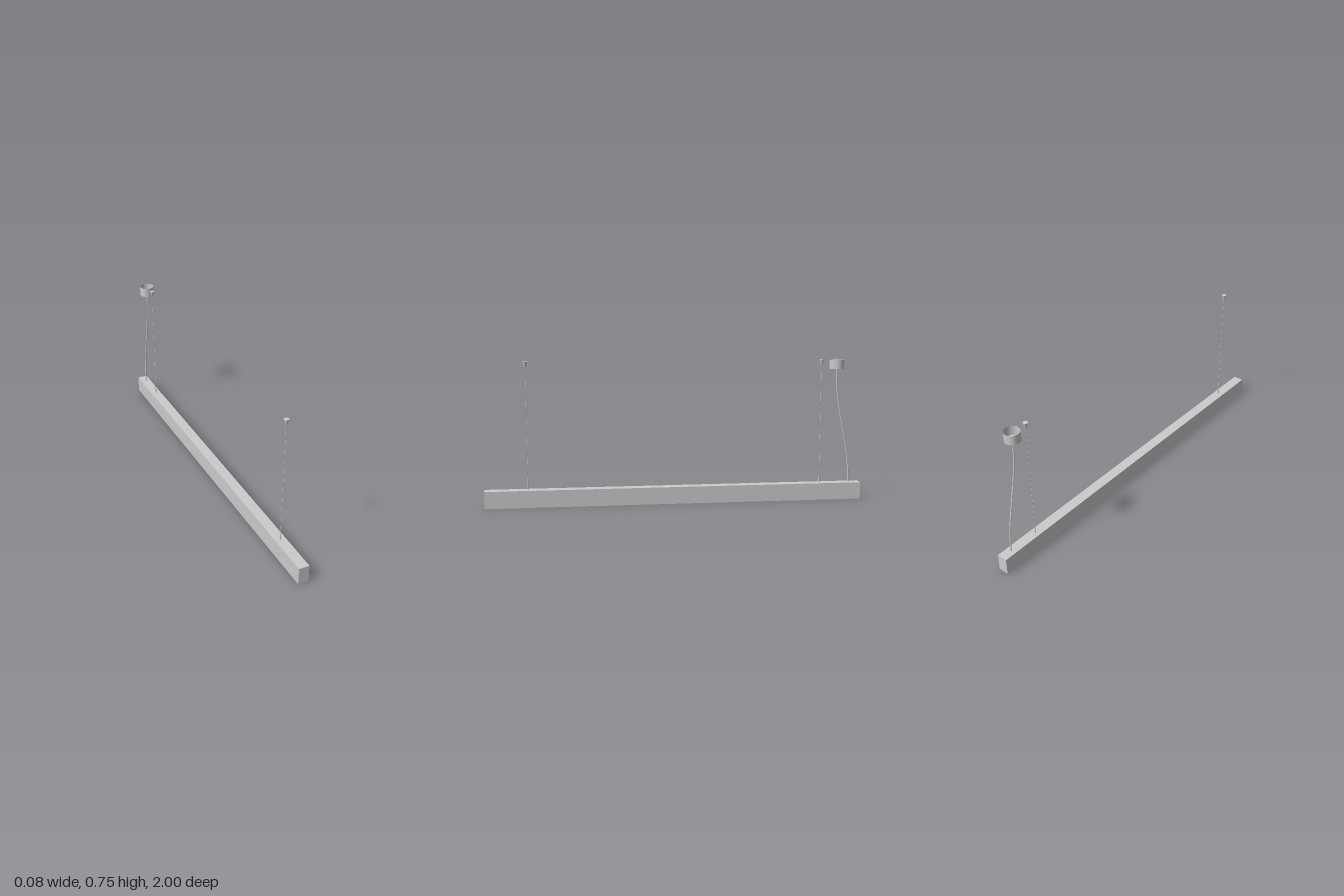
import * as THREE from 'three';

const material = new THREE.MeshStandardMaterial({ color: 0xcccccc });
const thinMaterial = new THREE.MeshStandardMaterial({ color: 0xcccccc, side: THREE.DoubleSide });

function addMesh(parent, name, geometry, mat = material) {
  const mesh = new THREE.Mesh(geometry, mat);
  mesh.name = name;
  parent.add(mesh);
  return mesh;
}

// Upright cylinder or cone between two heights
function post(parent, name, rTop, rBottom, y0, y1, open = false) {
  const geometry = new THREE.CylinderGeometry(rTop, rBottom, y1 - y0, 24, 1, open);
  const mesh = addMesh(parent, name, geometry, open ? thinMaterial : material);
  mesh.position.y = (y0 + y1) / 2;
  return mesh;
}

export function createModel() {
  const model = new THREE.Group();
  model.name = 'linearPendantLamp';

  const barHeight = 0.09;
  const top = 0.755;

  // Long rectangular light housing
  addMesh(model, 'lightBar', new THREE.BoxGeometry(0.055, barHeight, 2)).position.y = barHeight / 2;

  // Two suspension wires, each with a gripper below and a ceiling cone above
  for (const [side, z] of [['front', 0.777], ['back', -0.777]]) {
    const suspension = new THREE.Group();
    suspension.name = side + 'Suspension';
    suspension.position.z = z;
    post(suspension, 'gripper', 0.003, 0.003, barHeight, 0.115);
    post(suspension, 'gripperTip', 0.002, 0.003, 0.115, 0.127);
    post(suspension, 'wire', 0.0008, 0.0008, 0.127, 0.73);
    post(suspension, 'ceilingCone', 0.0125, 0.0045, 0.724, top);
    model.add(suspension);
  }

  // Ceiling canopy: a cup open at the top
  const canopy = new THREE.Group();
  canopy.name = 'canopy';
  canopy.position.z = -0.86;
  post(canopy, 'canopyWall', 0.039, 0.039, 0.705, top, true);
  const floor = addMesh(canopy, 'canopyFloor', new THREE.CircleGeometry(0.039, 24), thinMaterial);
  floor.rotation.x = -Math.PI / 2;
  floor.position.y = 0.705;
  model.add(canopy);

  // Power cord hanging in a gentle S from the canopy to the bar
  const cordPath = new THREE.CubicBezierCurve3(
    new THREE.Vector3(0, 0.706, -0.86),
    new THREE.Vector3(0, 0.46, -0.86),
    new THREE.Vector3(0, 0.32, -0.938),
    new THREE.Vector3(0, barHeight - 0.002, -0.94)
  );
  addMesh(model, 'powerCord', new THREE.TubeGeometry(cordPath, 40, 0.0035, 12));

  return model;
}
